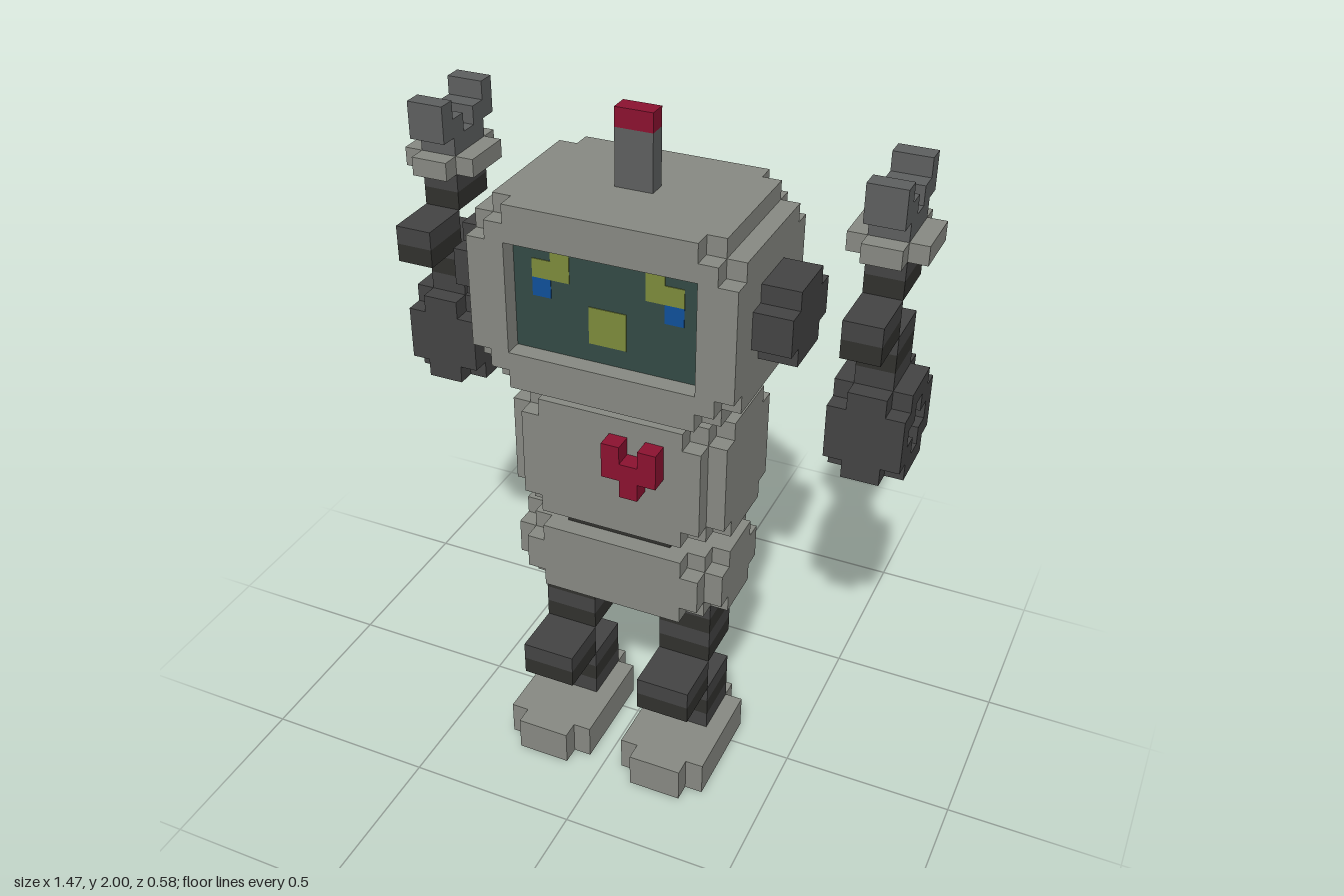
import * as THREE from 'three';

const V = 2 / 38; // one block; everything below is measured in blocks
const BODY = 0x888a83, LIGHT = 0x444444, DARK = 0x31312e, METAL = 0x5e6060;
const RED = 0x8c1230, SCREEN = 0x344a45, GREEN = 0x7d8c3c, BLUE = 0x10509a;

const materials = {};
const material = (color) =>
  (materials[color] ??= new THREE.MeshStandardMaterial({ color, flatShading: true }));

function addMesh(parent, name, color, geometry, lo, hi) {
  const mesh = new THREE.Mesh(geometry, material(color));
  mesh.name = name;
  mesh.position.set(...lo.map((a, i) => (a + hi[i]) / 2));
  parent.add(mesh);
  return mesh;
}

// Plain box between two corners
function block(parent, name, color, lo, hi) {
  return addMesh(parent, name, color, new THREE.BoxGeometry(...lo.map((a, i) => hi[i] - a)), lo, hi);
}

// Centred rectangle whose corners are cut by a staircase of n one-block steps
function steppedShape(w, h, n) {
  const corner = [];
  for (let i = 0; i <= n; i++) {
    corner.push([w / 2 - i, h / 2 - n + i]);
    if (i < n) corner.push([w / 2 - i - 1, h / 2 - n + i]);
  }
  const back = [...corner].reverse();
  return new THREE.Shape([
    ...corner,
    ...back.map(([x, y]) => [-x, y]),
    ...corner.map(([x, y]) => [-x, -y]),
    ...back.map(([x, y]) => [x, -y]),
  ].map(([x, y]) => new THREE.Vector2(x, y)));
}

// Stepped outline extruded along an axis (0 = x, 1 = y, 2 = z), optionally with a hole
function stepped(parent, name, color, axis, lo, hi, n, hole) {
  const size = lo.map((a, i) => hi[i] - a);
  const [u, v] = [[2, 1], [0, 2], [0, 1]][axis];
  const shape = steppedShape(size[u], size[v], n);
  if (hole) shape.holes.push(new THREE.Path(hole.getPoints().reverse()));
  const geometry = new THREE.ExtrudeGeometry(shape, { depth: size[axis], bevelEnabled: false });
  geometry.translate(0, 0, -size[axis] / 2);
  if (axis === 0) geometry.rotateY(Math.PI / 2);
  if (axis === 1) geometry.rotateX(-Math.PI / 2);
  return addMesh(parent, name, color, geometry, lo, hi);
}

// Thick block with a more strongly cut layer at each end of the axis
function chunky(parent, name, color, axis, lo, hi, n, holes = []) {
  const group = new THREE.Group();
  group.name = name;
  parent.add(group);
  const cut = [lo[axis], lo[axis] + 1, hi[axis] - 1, hi[axis]];
  for (let i = 0; i < 3; i++) {
    const a = [...lo], b = [...hi];
    a[axis] = cut[i];
    b[axis] = cut[i + 1];
    stepped(group, name + ['Start', 'Middle', 'End'][i], color, axis, a, b, i === 1 ? n : n + 1, holes[i]);
  }
  return group;
}

// Striped limb, one block per row; the joint rows are pushed forward
function limb(parent, name, x0, x1, y0, y1, zBack, joint) {
  for (let y = y0; y < y1; y++) {
    const z = zBack + (joint.includes(y) ? 3 : 0);
    block(parent, name, (y - y0) % 2 ? DARK : LIGHT, [x0, y, z], [x1, y + 1, z + 3]);
  }
}

function makeHead(robot) {
  const head = chunky(robot, 'head', BODY, 2, [-7, 24, -4.5], [7, 34, 4.5], 1,
    [null, null, steppedShape(10, 6, 0)]);
  // Face display, sunk one block behind the frame
  block(head, 'screen', SCREEN, [-5, 26, 3.3], [5, 32, 3.52]);
  block(head, 'mouth', GREEN, [-1, 27, 3.4], [1, 29, 3.56]);
  for (const s of [-1, 1]) {
    const pixel = (name, color, a, b, y) =>
      block(head, name, color, [Math.min(s * a, s * b), y, 3.4], [Math.max(s * a, s * b), y + 1, 3.56]);
    pixel('eyeTop', GREEN, 2, 3, 31);
    pixel('eyeBottom', GREEN, 2, 4, 30);
    pixel('tear', BLUE, 3, 4, 29);
    const x = s > 0 ? 7 : -9;
    stepped(head, 'ear', LIGHT, 0, [x, 27, -2.5], [x + 2, 31, 2.5], 1);
  }
  block(head, 'antenna', METAL, [-1, 34, -0.5], [1, 37, 0.5]);
  block(head, 'antennaTip', RED, [-1, 37, -0.5], [1, 38, 0.5]);
}

function makeBody(robot) {
  block(robot, 'neck', DARK, [-3, 23, -1.5], [3, 24, 1.5]);
  chunky(robot, 'torso', BODY, 1, [-6, 16, -4.5], [6, 23, 3.5], 1);
  block(robot, 'waist', DARK, [-3, 15, -2.5], [3, 16, 2.5]);
  chunky(robot, 'pelvis', BODY, 1, [-6, 11, -3.5], [6, 15, 3.5], 1);
  block(robot, 'backLedge', BODY, [-3, 17, -5.5], [3, 18, -4.5]);
  // Heart: rows of [x0, x1, y]
  for (const [a, b, y] of [[0, 1, 21], [2, 3, 21], [0, 3, 20], [1, 2, 19]])
    block(robot, 'heart', RED, [a, y, 3.5], [b, y + 1, 4.5]);
}

function makeArm(robot, s) {
  const arm = new THREE.Group();
  arm.name = s > 0 ? 'leftArm' : 'rightArm';
  arm.position.x = s * 12;
  robot.add(arm);
  // Shoulder with a sunken cross on both sides
  const cross = steppedShape(3, 3, 1);
  chunky(arm, 'shoulder', LIGHT, 0, [-2, 20, -5.5], [2, 25, -0.5], 0, [cross, null, cross]);
  limb(arm, 'armSegment', -1, 1, 25, 32, -4.5, [28, 29]);
  stepped(arm, 'wristRing', BODY, 1, [-2, 32, -5.5], [2, 33, -0.5], 1);
  // Open claw: rows of [y, z0, z1]
  for (const [y, a, b] of [[33, -4.5, -1.5], [34, -2.5, -0.5], [34, -5.5, -3.5], [35, -1.5, -0.5], [35, -5.5, -4.5]])
    block(arm, 'claw', METAL, [-1, y, a], [1, y + 1, b]);
}

function makeLeg(robot, s) {
  const leg = new THREE.Group();
  leg.name = s > 0 ? 'leftLeg' : 'rightLeg';
  leg.position.x = s * 3.5;
  robot.add(leg);
  limb(leg, 'legSegment', -1.5, 1.5, 2, 11, -1.5, [5, 6]);
  stepped(leg, 'foot', BODY, 1, [-2.5, 0, -2.5], [2.5, 2, 5.5], 1);
}

export function createModel() {
  const model = new THREE.Group();
  model.name = 'robot';
  const robot = new THREE.Group();
  robot.name = 'robotBody';
  robot.scale.setScalar(V);
  model.add(robot);
  makeHead(robot);
  makeBody(robot);
  for (const s of [-1, 1]) {
    makeArm(robot, s);
    makeLeg(robot, s);
  }
  return model;
}
